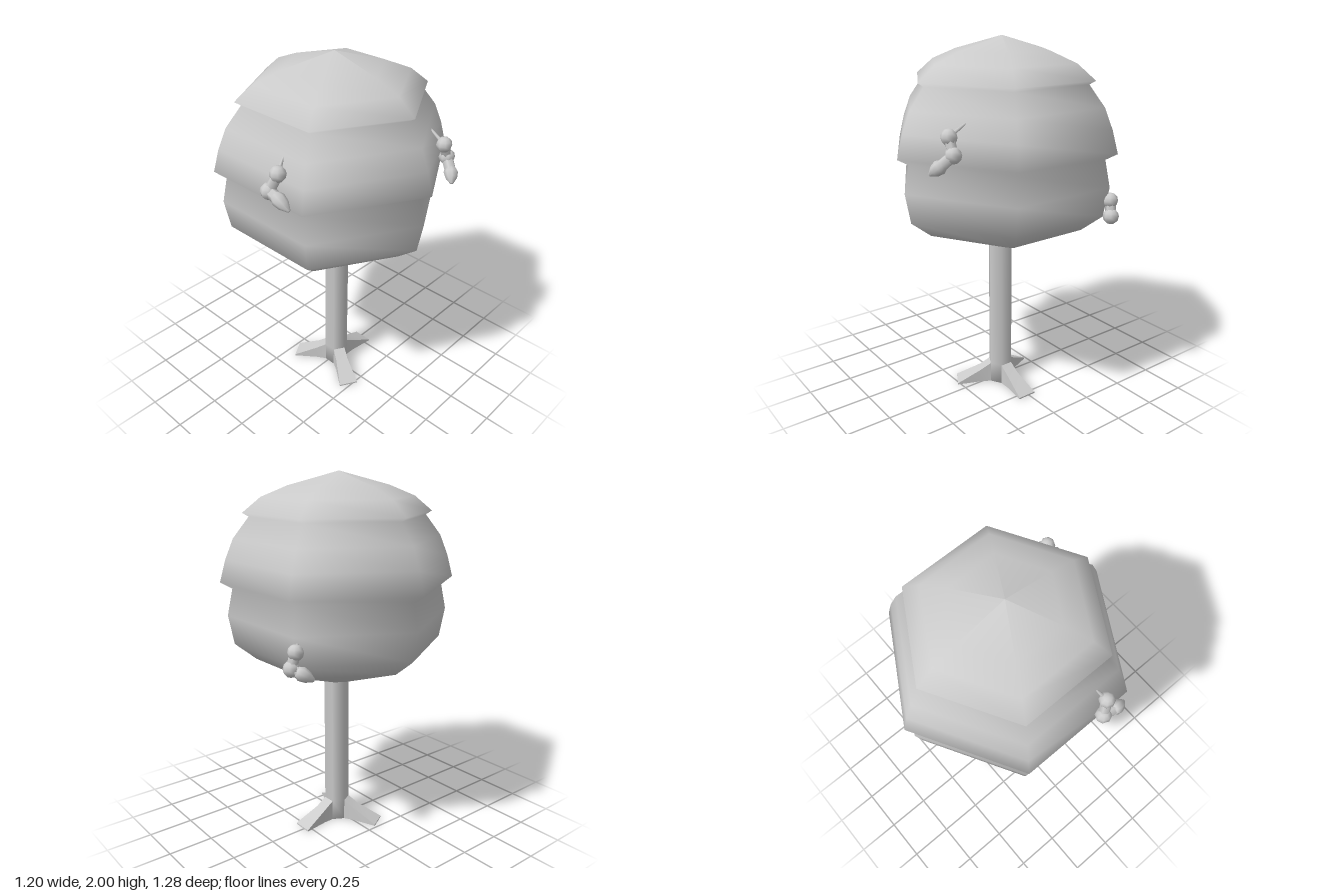
import * as THREE from 'three';
import { toCreasedNormals } from 'three/addons/utils/BufferGeometryUtils.js';

const grey = new THREE.MeshStandardMaterial({ color: 0xcccccc, side: THREE.DoubleSide });
const v = (p) => new THREE.Vector3(...p);
const UP = new THREE.Vector3(0, 1, 0);

function add(parent, name, geometry) {
  const mesh = new THREE.Mesh(geometry, grey);
  mesh.name = name;
  parent.add(mesh);
  return mesh;
}

// Six-sided turned body; profile points are [radius, height], bottom to top
function hexLathe(profile) {
  return new THREE.LatheGeometry(profile.map(([r, y]) => new THREE.Vector2(r, y)), 6);
}

// Rectangular sections [distance, halfWidth, top] lofted outwards along +x
function rootGeometry(sections) {
  const pos = [], index = [];
  sections.forEach(([x, w, h]) => pos.push(x, 0, w, x, 0, -w, x, h, -w, x, h, w));
  for (let s = 0; s < sections.length - 1; s++) {
    for (let k = 0; k < 4; k++) {
      const a = s * 4 + k, b = s * 4 + (k + 1) % 4;
      index.push(a, b, b + 4, a, b + 4, a + 4);
    }
  }
  const e = (sections.length - 1) * 4;
  index.push(e, e + 1, e + 2, e, e + 2, e + 3);
  const g = new THREE.BufferGeometry();
  g.setAttribute('position', new THREE.Float32BufferAttribute(pos, 3));
  g.setIndex(index);
  return toCreasedNormals(g, 0.9);
}

// Rod between two points
function rod(parent, name, from, to, r0, r1) {
  const a = v(from), b = v(to), d = b.clone().sub(a);
  const mesh = add(parent, name, new THREE.CylinderGeometry(r1, r0, d.length(), 6));
  mesh.position.copy(a).lerp(b, 0.5);
  mesh.quaternion.setFromUnitVectors(UP, d.normalize());
}

// Insect: round head and thorax, pointed abdomen, thin feeler
function insect(name, head, thorax, abdomen, tip, feeler) {
  const g = new THREE.Group();
  g.name = name;
  add(g, 'head', new THREE.SphereGeometry(0.041, 8, 6)).position.set(...head);
  add(g, 'thorax', new THREE.SphereGeometry(0.042, 8, 6)).position.set(...thorax);
  rod(g, 'neck', head, thorax, 0.028, 0.028);
  rod(g, 'waist', thorax, abdomen, 0.03, 0.03);
  const d = v(tip).sub(v(abdomen)), len = d.length();
  const profile = [[0, -0.036], [0.026, -0.025], [0.037, 0], [0.03, len * 0.5], [0.008, len], [0, len]];
  const tail = add(g, 'abdomen', new THREE.LatheGeometry(profile.map((p) => new THREE.Vector2(...p)), 8));
  tail.position.set(...abdomen);
  tail.quaternion.setFromUnitVectors(UP, d.normalize());
  rod(g, 'feeler', head, feeler, 0.012, 0.005);
  return g;
}

export function createModel() {
  const tree = new THREE.Group();
  tree.name = 'tree';

  // Three-tiered crown
  const crown = add(tree, 'crown', hexLathe([
    [0, 0.85], [0.07, 0.86], [0.46, 1.0], [0.575, 1.09], [0.605, 1.25], [0.575, 1.395],
    [0.638, 1.43], [0.605, 1.55], [0.56, 1.66], [0.475, 1.77],
    [0.508, 1.79], [0.41, 1.87], [0.27, 1.927], [0, 2.0],
  ]));
  crown.position.x = 0.02;

  // Trunk with three spreading roots
  const base = new THREE.Group();
  base.name = 'base';
  base.position.set(0.027, 0, 0.015);
  tree.add(base);
  add(base, 'trunk', hexLathe([[0, 0], [0.07, 0], [0.07, 0.12], [0.07, 0.87]]));
  const root = rootGeometry([[0.05, 0.035, 0.125], [0.12, 0.036, 0.078], [0.258, 0.055, 0.008]]);
  for (let i = 0; i < 3; i++) {
    add(base, 'root', root).rotation.y = (i * Math.PI * 2) / 3;
  }

  // Insects on the crown
  tree.add(
    insect('frontInsect', [0.285, 1.57, 0.505], [0.32, 1.49, 0.505], [0.285, 1.435, 0.56],
      [0.25, 1.395, 0.595], [0.29, 1.63, 0.405]),
    insect('rightInsect', [-0.525, 1.59, 0.16], [-0.555, 1.5, 0.125], [-0.565, 1.49, 0.2],
      [-0.56, 1.45, 0.265], [-0.462, 1.65, 0.135]),
    insect('leftInsect', [0.54, 1.18, -0.315], [0.56, 1.1, -0.305], [0.53, 1.08, -0.345],
      [0.48, 1.045, -0.38], [0.505, 1.245, -0.297]),
  );
  return tree;
}
